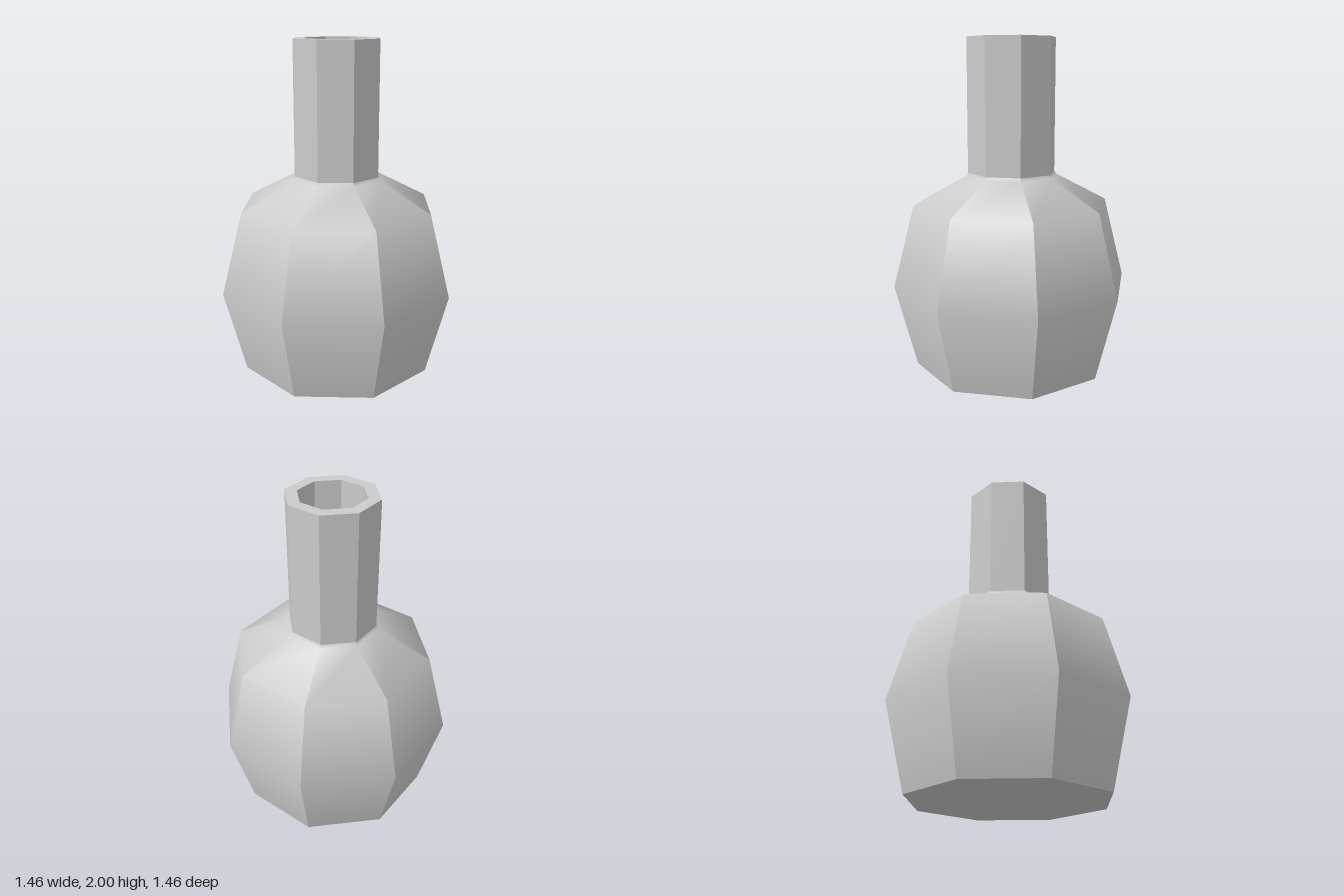
import * as THREE from 'three';

const SIDES = 8;
const STEP = (Math.PI * 2) / SIDES;

// Turns an [r, y] profile into an eight-sided shell: smooth along the profile,
// sharp between facets except on the rings listed in blended.
function facetedShell(profile, blended = []) {
  const shrink = Math.cos(STEP / 2);
  const profileNormals = profile.map((p, i) => {
    const a = profile[Math.max(i - 1, 0)];
    const b = profile[Math.min(i + 1, profile.length - 1)];
    return new THREE.Vector2(b[1] - a[1], -(b[0] - a[0]) * shrink).normalize();
  });
  const positions = [], normals = [];
  const addCorner = (ring, angle, facetAngle) => {
    const [r, y] = profile[ring];
    const n = profileNormals[ring];
    const t = blended.includes(ring) ? angle : facetAngle;
    positions.push(r * Math.sin(angle), y, r * Math.cos(angle));
    normals.push(n.x * Math.sin(t), n.y, n.x * Math.cos(t));
  };
  for (let s = 0; s < SIDES; s++) {
    const a0 = s * STEP, a1 = a0 + STEP, mid = a0 + STEP / 2;
    for (let i = 0; i < profile.length - 1; i++) {
      const triangles = [];
      if (profile[i][0] > 0) triangles.push([[i, a0], [i, a1], [i + 1, a1]]);
      if (profile[i + 1][0] > 0) triangles.push([[i, a0], [i + 1, a1], [i + 1, a0]]);
      triangles.flat().forEach(([ring, angle]) => addCorner(ring, angle, mid));
    }
  }
  const geometry = new THREE.BufferGeometry();
  geometry.setAttribute('position', new THREE.Float32BufferAttribute(positions, 3));
  geometry.setAttribute('normal', new THREE.Float32BufferAttribute(normals, 3));
  return geometry;
}

export function createModel() {
  const group = new THREE.Group();
  group.name = 'flask';
  const material = new THREE.MeshStandardMaterial({ color: 0xcccccc });
  const add = (name, profile, blended) => {
    const mesh = new THREE.Mesh(facetedShell(profile, blended), material);
    mesh.name = name;
    group.add(mesh);
  };

  // Flat underside
  add('base', [[0, 0], [0.6, 0]]);
  // Bulging belly, sloping shoulder and small flare where the neck begins
  add('body', [[0.6, 0], [0.73, 0.51], [0.6, 1.01], [0.28, 1.18], [0.268, 1.2]], [3]);
  // Straight neck
  add('neck', [[0.268, 1.2], [0.268, 2]]);
  // Rim and the bore inside the neck
  add('rim', [[0.268, 2], [0.197, 2]]);
  add('boreWall', [[0.197, 2], [0.197, 1.2]]);
  add('boreFloor', [[0.197, 1.2], [0, 1.2]]);

  return group;
}
